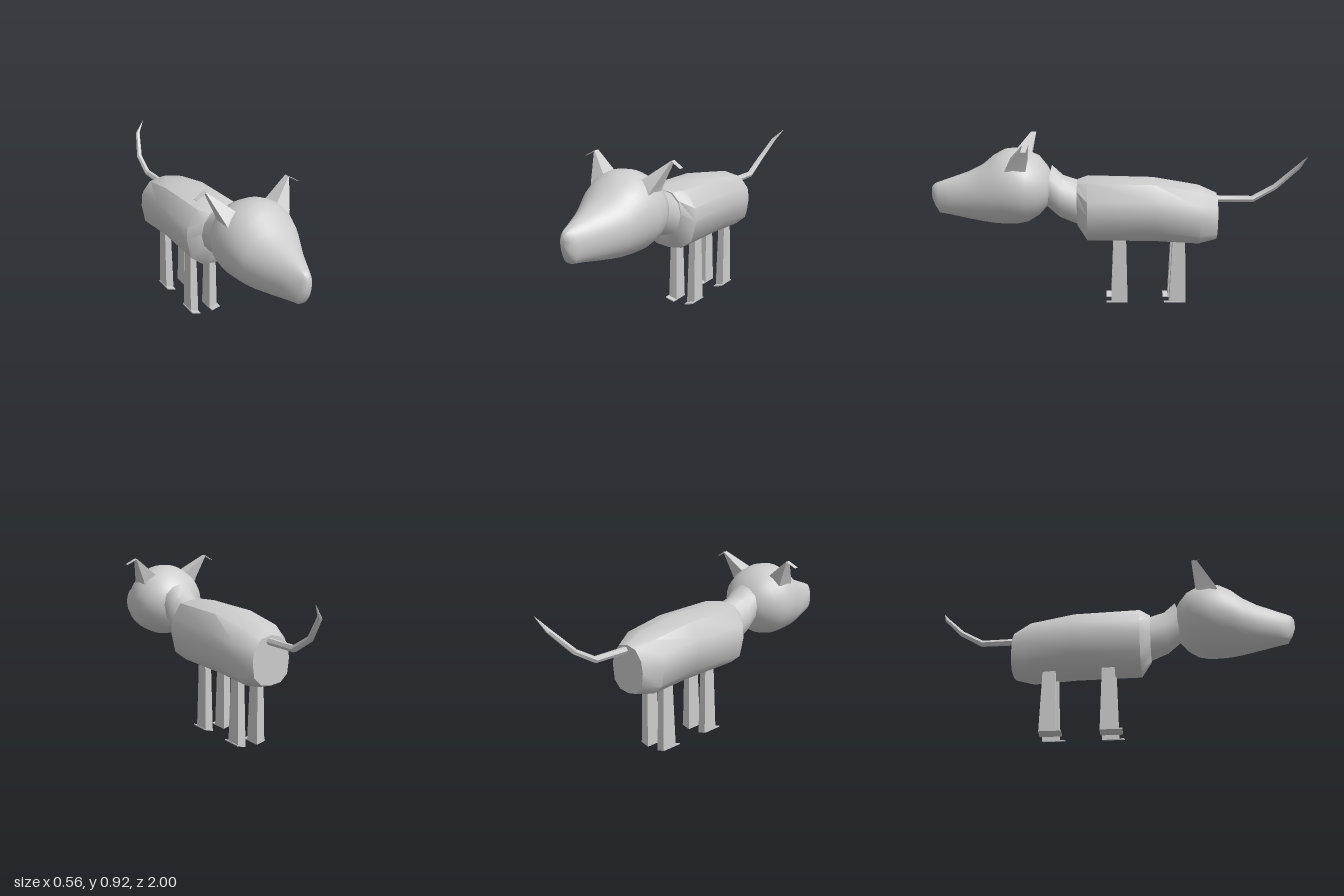
import * as THREE from 'three';
import { toCreasedNormals } from 'three/addons/utils/BufferGeometryUtils.js';

// Skin a list of equal-length rings and cap both ends
function loft(rings, crease) {
  const n = rings[0].length, index = [], last = (rings.length - 1) * n;
  for (let i = 0; i < rings.length - 1; i++) {
    for (let j = 0; j < n; j++) {
      const a = i * n + j, b = i * n + (j + 1) % n;
      index.push(a, a + n, b, b, a + n, b + n);
    }
  }
  for (let j = 1; j < n - 1; j++) {
    index.push(0, j, j + 1, last, last + j + 1, last + j);
  }
  const geo = new THREE.BufferGeometry();
  geo.setAttribute('position', new THREE.Float32BufferAttribute(rings.flat(2), 3));
  geo.setIndex(index);
  return toCreasedNormals(geo, crease);
}

// Mirror rings across x = 0, keeping faces outward
const mirror = rings => rings.map(r => r.map(([x, y, z]) => [-x, y, z]).reverse());

// Oval ring given its top and bottom points; pinch < 1 squares the lower half
function oval(topZ, topY, botZ, botY, halfWidth, n, cx = 0, pinch = 1) {
  return Array.from({ length: n }, (_, i) => {
    const a = i / n * Math.PI * 2, c = Math.cos(a), s = Math.sin(a), t = (s + 1) / 2;
    const x = s < 0 ? Math.sign(c) * Math.abs(c) ** pinch : c;
    return [cx + halfWidth * x, botY + (topY - botY) * t, botZ + (topZ - botZ) * t];
  });
}

export function createModel() {
  const model = new THREE.Group();
  const grey = new THREE.MeshStandardMaterial({ color: 0xcccccc, side: THREE.DoubleSide });
  grey.name = 'grey';
  const add = (name, rings, crease) => {
    const mesh = new THREE.Mesh(loft(rings, crease), grey);
    mesh.name = name;
    model.add(mesh);
  };

  // Head: round skull tapering into a wedge snout [z, bottom, top, half width]
  const head = [
    [1, 0.59, 0.65, 0.01], [0.985, 0.55, 0.67, 0.03], [0.96, 0.51, 0.68, 0.05],
    [0.9, 0.5, 0.7, 0.077], [0.8, 0.48, 0.735, 0.12], [0.72, 0.465, 0.775, 0.158],
    [0.66, 0.455, 0.825, 0.182], [0.6, 0.45, 0.857, 0.198], [0.54, 0.45, 0.863, 0.207],
    [0.48, 0.463, 0.85, 0.203], [0.42, 0.5, 0.82, 0.175], [0.375, 0.55, 0.765, 0.125],
    [0.35, 0.6, 0.715, 0.07], [0.34, 0.65, 0.66, 0.008],
  ];
  add('head', head.map(([z, b, t, w]) =>
    oval(z, t, z, b, w, 40, 0, z > 0.6 ? 1 - 0.8 * (z - 0.6) : 1)), 0.9);

  // Neck
  add('neck', [
    oval(0.35, 0.77, 0.39, 0.55, 0.1, 12), oval(0.29, 0.715, 0.31, 0.48, 0.102, 12),
    oval(0.2, 0.685, 0.2, 0.435, 0.113, 12),
  ], 0.7);

  // Body: faceted barrel; half sections run from belly to spine
  const body = [
    [0.215, [[0, 0.44], [0.06, 0.45], [0.1, 0.5], [0.115, 0.57], [0.1, 0.64], [0.06, 0.68], [0, 0.69]]],
    [0.16, [[0, 0.36], [0.08, 0.37], [0.145, 0.42], [0.17, 0.53], [0.165, 0.6], [0.11, 0.69], [0, 0.71]]],
    [-0.2, [[0, 0.35], [0.08, 0.365], [0.145, 0.43], [0.17, 0.53], [0.165, 0.6], [0.11, 0.68], [0, 0.7]]],
    [-0.44, [[0, 0.33], [0.08, 0.35], [0.14, 0.4], [0.16, 0.5], [0.155, 0.57], [0.1, 0.64], [0, 0.66]]],
    [-0.54, [[0, 0.36], [0.06, 0.37], [0.1, 0.41], [0.11, 0.49], [0.1, 0.55], [0.06, 0.6], [0, 0.615]]],
  ];
  add('body', body.map(([z, half]) => [
    ...half.map(([x, y]) => [x, y, z]),
    ...half.slice(1, -1).reverse().map(([x, y]) => [-x, y, z]),
  ]), 0.75);

  // Tail: thin tapering rod rising and bending aside [x, y, z, radius, tilt]
  const tail = [
    [0.012, 0.585, -0.5, 0.019, 0], [0.012, 0.582, -0.735, 0.018, 0.25],
    [0.014, 0.65, -0.855, 0.016, 0.65], [0.055, 0.765, -0.965, 0.013, 0.95],
    [0.108, 0.83, -1, 0.001, 1],
  ];
  add('tail', tail.map(([x, y, z, r, tilt]) => {
    const dy = r * Math.cos(tilt), dz = r * Math.sin(tilt);
    return oval(z + dz, y + dy, z - dz, y - dy, r, 6, x);
  }), 0.5);

  // Ears: wedge to a short edge, then a folded tip
  const ear = [
    [[0.09, 0.81, 0.47], [0.17, 0.765, 0.475], [0.17, 0.765, 0.585], [0.085, 0.81, 0.57]],
    [[0.12, 0.832, 0.465], [0.175, 0.785, 0.472], [0.178, 0.785, 0.575], [0.12, 0.832, 0.555]],
    [[0.226, 0.916, 0.45], [0.23, 0.914, 0.45], [0.23, 0.914, 0.48], [0.226, 0.916, 0.48]],
  ];
  const earTip = [
    [[0.227, 0.917, 0.45], [0.227, 0.914, 0.45], [0.227, 0.914, 0.48], [0.227, 0.917, 0.48]],
    [[0.281, 0.887, 0.46], [0.281, 0.885, 0.46], [0.281, 0.885, 0.487], [0.281, 0.887, 0.487]],
  ];

  // Legs: square posts widening down to a slanted sole with a thin toe
  const square = (x0, x1, y0, y1, back, front) => [
    [x0, y0, front], [x1, y1, front], [x1, y1, back], [x0, y0, back],
  ];
  const leg = z => [
    square(0.042, 0.078, 0.4, 0.4, z - 0.033, z + 0.033),
    square(0.036, 0.083, 0.005, 0.018, z - 0.043, z + 0.047),
  ];
  const toe = z => [
    square(0.036, 0.088, 0.006, 0.02, z - 0.043, z + 0.075),
    square(0.036, 0.088, 0, 0.014, z - 0.043, z + 0.075),
  ];

  for (const [side, flip] of [['left', r => r], ['right', mirror]]) {
    add(side + 'Ear', flip(ear), 0.3);
    add(side + 'EarTip', flip(earTip), 0.3);
    for (const [end, z] of [['Front', -0.015], ['Hind', -0.335]]) {
      add(side + end + 'Leg', flip(leg(z)), 0.3);
      add(side + end + 'Toe', flip(toe(z)), 0.3);
    }
  }
  return model;
}
